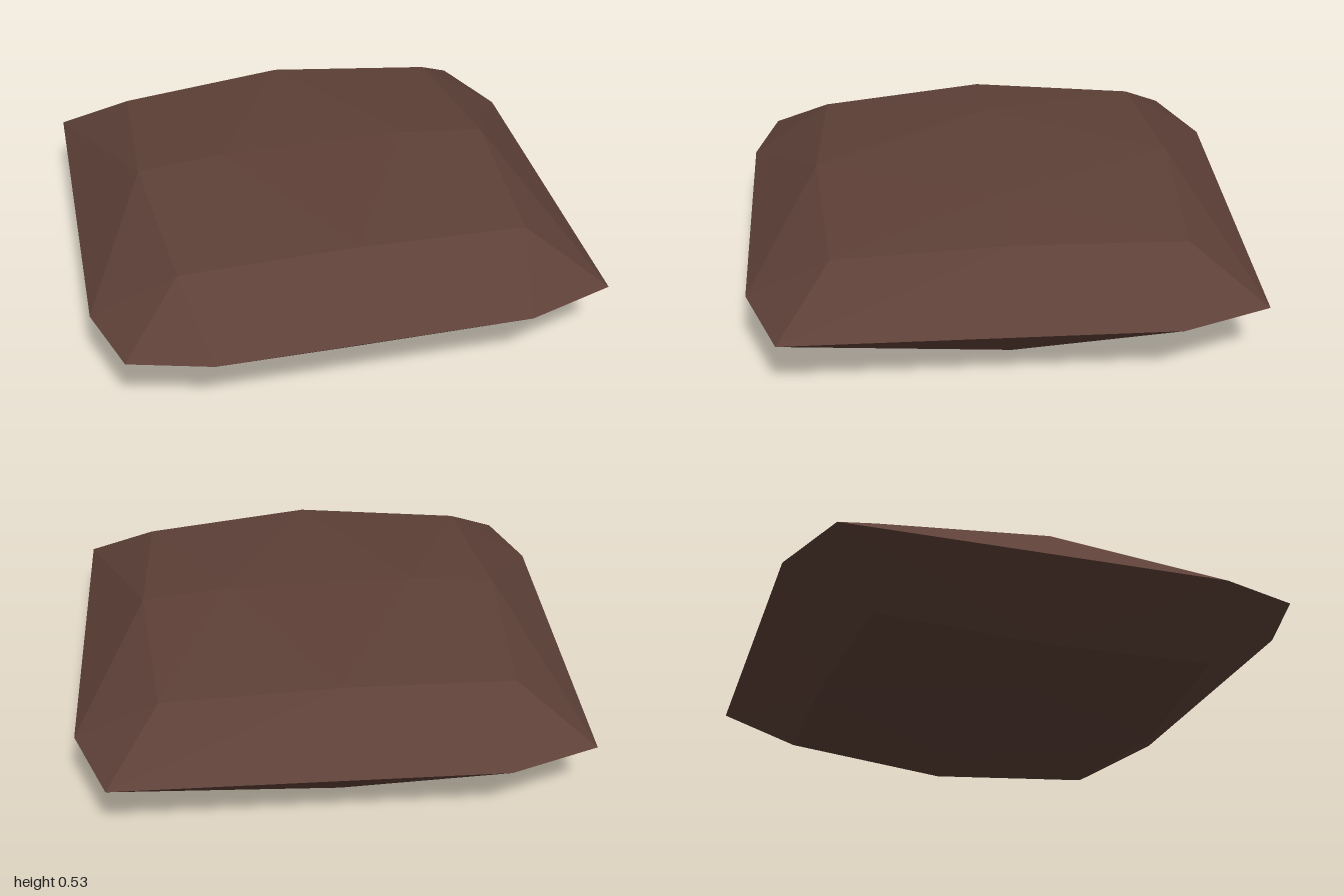
import * as THREE from 'three';
import { ConvexGeometry } from 'three/addons/geometries/ConvexGeometry.js';

export function createModel() {
  const group = new THREE.Group();
  group.name = 'flatStone';

  const brown = new THREE.MeshStandardMaterial({ color: 0x5d4037, flatShading: true });
  brown.name = 'brown';

  const midHeight = 0.267;
  const points = [];

  // Uneven outline of the widest edge, as x and z
  const rim = [
    [-0.95, -0.88], [-0.6, -1], [0.88, -0.95], [1, -0.6], [0.95, 0.88],
    [0.6, 1], [-0.6, 1], [-0.91, 0.91], [-1, 0.6],
  ];
  for (const [x, z] of rim) points.push(new THREE.Vector3(x, midHeight, z));

  // Matching upper and lower faces: central ridge, side middles and corners
  for (const up of [1, -1]) {
    const add = (x, h, z) => points.push(new THREE.Vector3(x, midHeight + up * h, z));
    for (const s of [-1, 1]) {
      add(s * 0.38, 0.265, 0);
      add(s * 0.72, 0.232, 0);
      add(0, 0.232, s * 0.72);
      for (const t of [-1, 1]) add(s * 0.675, 0.185, t * 0.675);
    }
  }

  const stone = new THREE.Mesh(new ConvexGeometry(points), brown);
  stone.name = 'stone';
  group.add(stone);
  return group;
}
